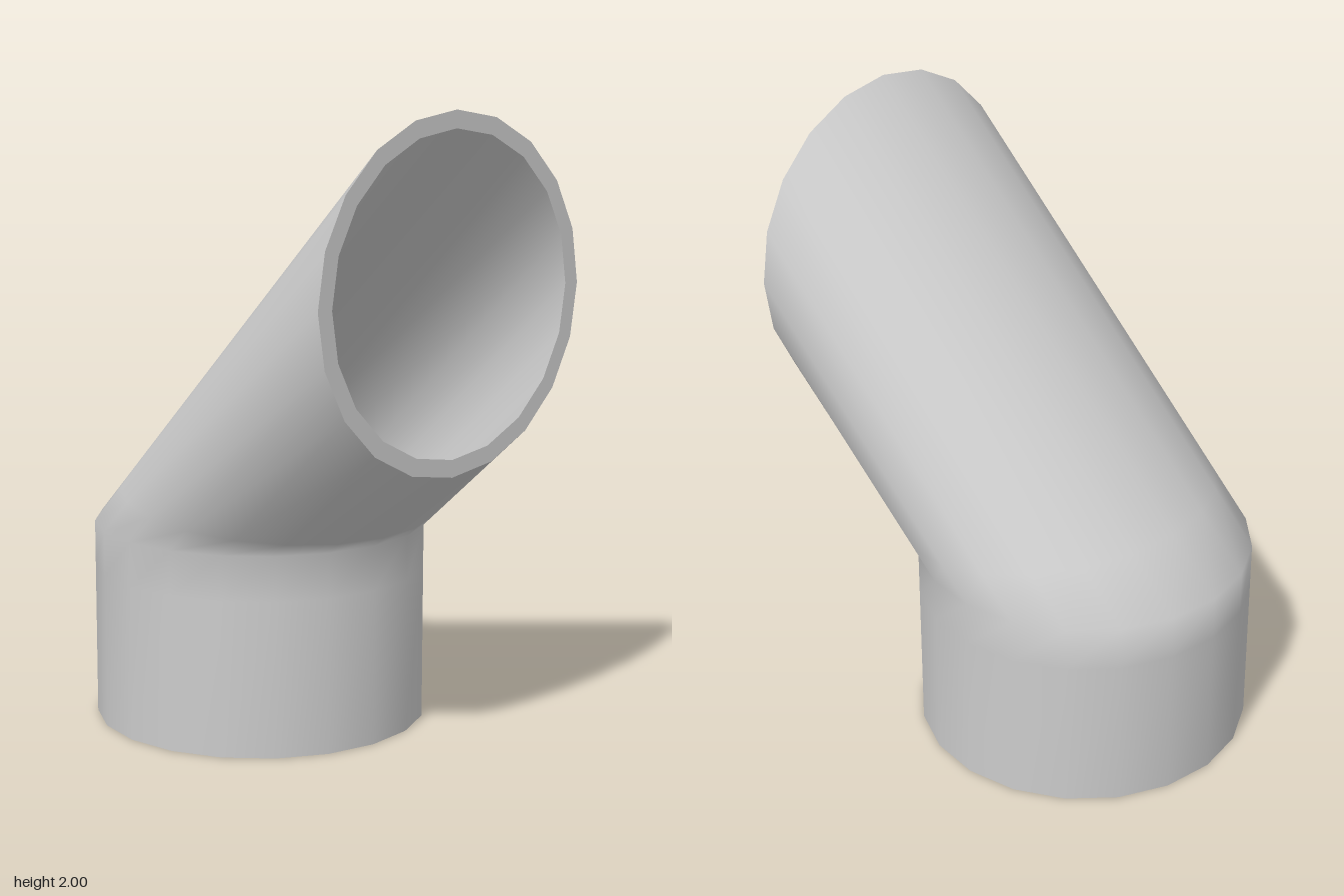
import * as THREE from 'three';

const SIDES = 20, OUTER = 0.543, INNER = 0.489;
const BASE_X = -0.165, BEND_Y = 0.645, END_X = 0.708, END_Y = 1.457;

// Level ring of the upright base
function baseRing(r, y) {
  return Array.from({ length: SIDES }, (_, j) => {
    const a = (j / SIDES) * Math.PI * 2;
    return new THREE.Vector3(BASE_X + r * Math.cos(a), y, r * Math.sin(a));
  });
}

// Ring of the slanted arm: blends from the level bend (t = 0) to the upright mouth (t = 1)
function armRing(r, t) {
  return baseRing(r, BEND_Y).map((p, j) => {
    const a = (j / SIDES) * Math.PI * 2;
    return p.lerp(new THREE.Vector3(END_X, END_Y - r * Math.cos(a), r * Math.sin(a)), t);
  });
}

// Skin through consecutive rings, smooth within one skin
function loft(rings) {
  const index = [];
  for (let i = 0; i < rings.length - 1; i++) {
    for (let j = 0; j < SIDES; j++) {
      const k = (j + 1) % SIDES;
      const a = i * SIDES + j, b = a + SIDES;
      const c = i * SIDES + k, d = c + SIDES;
      index.push(a, b, c, b, d, c);
    }
  }
  const geometry = new THREE.BufferGeometry().setFromPoints(rings.flat());
  geometry.setIndex(index);
  geometry.computeVertexNormals();
  return geometry;
}

// Wall of the bent pipe; close rings either side of the bend keep its shading tight
function wall(r) {
  return [
    baseRing(r, 0), baseRing(r, 0.5), baseRing(r, BEND_Y),
    armRing(r, 0.12), armRing(r, 1),
  ];
}

export function createModel() {
  const group = new THREE.Group();
  group.name = 'bentPipe';
  const material = new THREE.MeshStandardMaterial({ color: 0xcccccc });

  const add = (name, rings) => {
    const mesh = new THREE.Mesh(loft(rings), material);
    mesh.name = name;
    group.add(mesh);
  };

  add('outerWall', wall(OUTER));
  add('innerWall', wall(INNER).reverse());
  // Flat rims joining the two walls
  add('bottomRim', [baseRing(INNER, 0), baseRing(OUTER, 0)]);
  add('mouthRim', [armRing(OUTER, 1), armRing(INNER, 1)]);

  return group;
}
